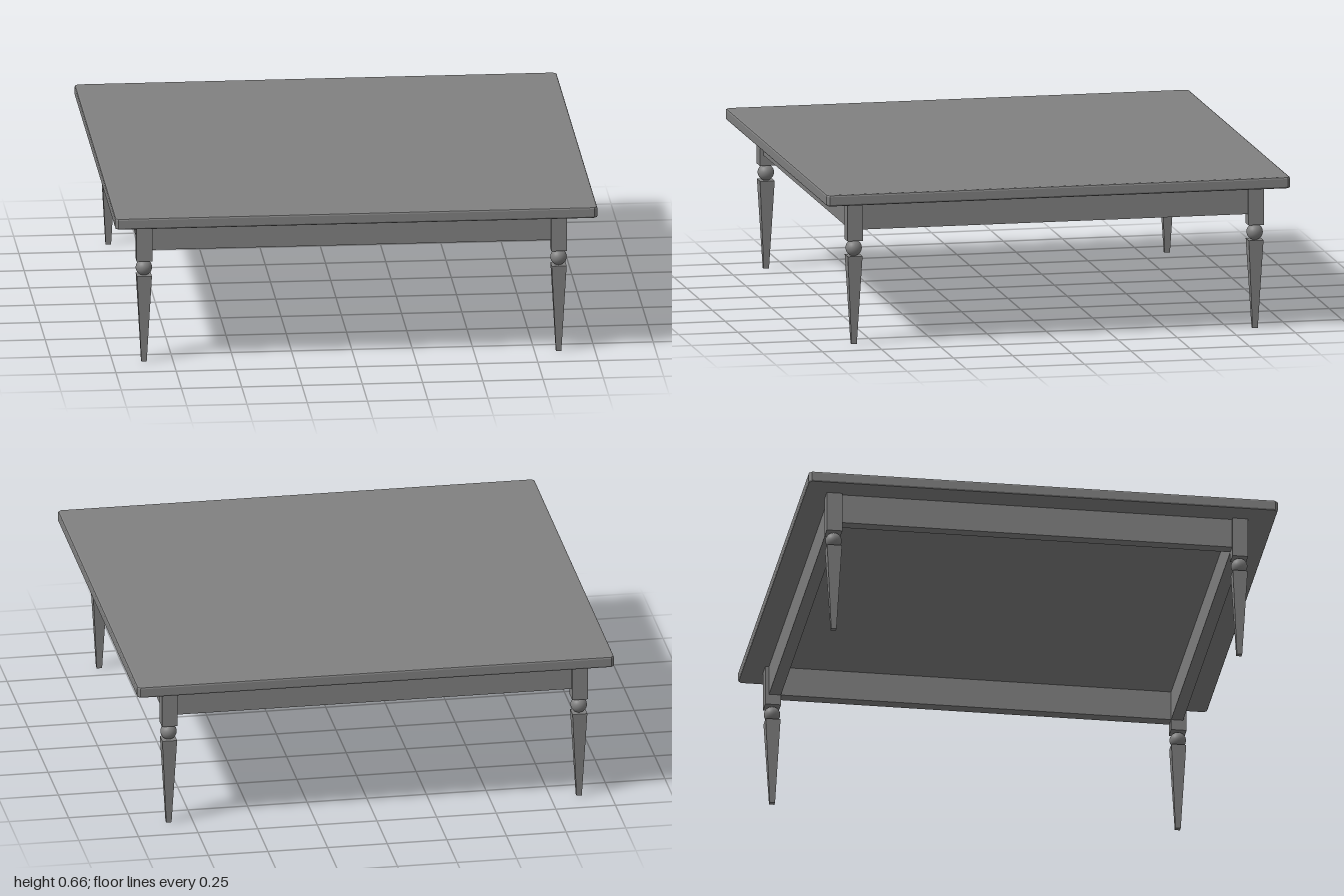
import * as THREE from 'three';

const material = new THREE.MeshStandardMaterial({ color: 0x808080 });
const flatMaterial = new THREE.MeshStandardMaterial({ color: 0x808080, flatShading: true });

// Leg centres: the frame sits slightly off the centre of the top
const LEG_X = [-0.87, 0.85];
const LEG_Z = [-0.859, 0.836];
const LEG_W = 0.065;
const TOP_BASE = 0.608;
const TOP_H = 0.048;
const APRON_BASE = 0.482;
const APRON_T = 0.05;

function add(parent, name, geometry, x, y, z, mat = material) {
  const mesh = new THREE.Mesh(geometry, mat);
  mesh.name = name;
  mesh.position.set(x, y, z);
  parent.add(mesh);
  return mesh;
}

// Slab lying on y = 0 with all its edges bevelled
function bevelledSlab(width, height, depth, bevel) {
  const x = width / 2 - bevel;
  const z = depth / 2 - bevel;
  const c = bevel;
  const outline = new THREE.Shape([
    [x - c, -z], [x, c - z], [x, z - c], [x - c, z],
    [c - x, z], [-x, z - c], [-x, c - z], [c - x, -z],
  ].map(([u, v]) => new THREE.Vector2(u, v)));
  const slab = new THREE.ExtrudeGeometry(outline, {
    depth: height - 2 * bevel,
    bevelSize: bevel,
    bevelThickness: bevel,
    bevelSegments: 2,
  });
  return slab.rotateX(-Math.PI / 2).translate(0, bevel, 0);
}

function createLeg(name, x, z) {
  const leg = new THREE.Group();
  leg.name = name;
  leg.position.set(x, 0, z);

  // Square block under the top
  add(leg, 'post', new THREE.BoxGeometry(LEG_W, TOP_BASE - 0.437, LEG_W), 0, (TOP_BASE + 0.437) / 2, 0);

  // Turned ball between block and foot
  add(leg, 'ball', new THREE.SphereGeometry(0.034, 24, 16), 0, 0.404, 0);

  // Square tapered foot
  const taper = new THREE.CylinderGeometry(0.031 * Math.SQRT2, 0.011 * Math.SQRT2, 0.372, 4);
  taper.rotateY(Math.PI / 4);
  add(leg, 'taper', taper, 0, 0.186, 0, flatMaterial);
  return leg;
}

export function createModel() {
  const table = new THREE.Group();
  table.name = 'table';

  // Square top with bevelled edges
  add(table, 'tableTop', bevelledSlab(2, TOP_H, 1.96, 0.008), 0, TOP_BASE, 0);

  // Four legs
  LEG_X.forEach((x, i) => LEG_Z.forEach((z, j) => {
    table.add(createLeg((j ? 'front' : 'back') + (i ? 'Left' : 'Right') + 'Leg', x, z));
  }));

  // Aprons joining the legs, set back a little from the outer leg faces
  const height = TOP_BASE - APRON_BASE;
  const y = (TOP_BASE + APRON_BASE) / 2;
  const inset = LEG_W / 2 - APRON_T / 2;
  const midX = (LEG_X[0] + LEG_X[1]) / 2;
  const midZ = (LEG_Z[0] + LEG_Z[1]) / 2;
  const spanX = LEG_X[1] - LEG_X[0];
  const spanZ = LEG_Z[1] - LEG_Z[0];
  [-1, 1].forEach((s, i) => {
    add(table, i ? 'frontApron' : 'backApron', new THREE.BoxGeometry(spanX, height, APRON_T),
      midX, y, LEG_Z[i] - s * inset);
    add(table, i ? 'leftApron' : 'rightApron', new THREE.BoxGeometry(APRON_T, height, spanZ),
      LEG_X[i] - s * inset, y, midZ);
  });

  return table;
}
